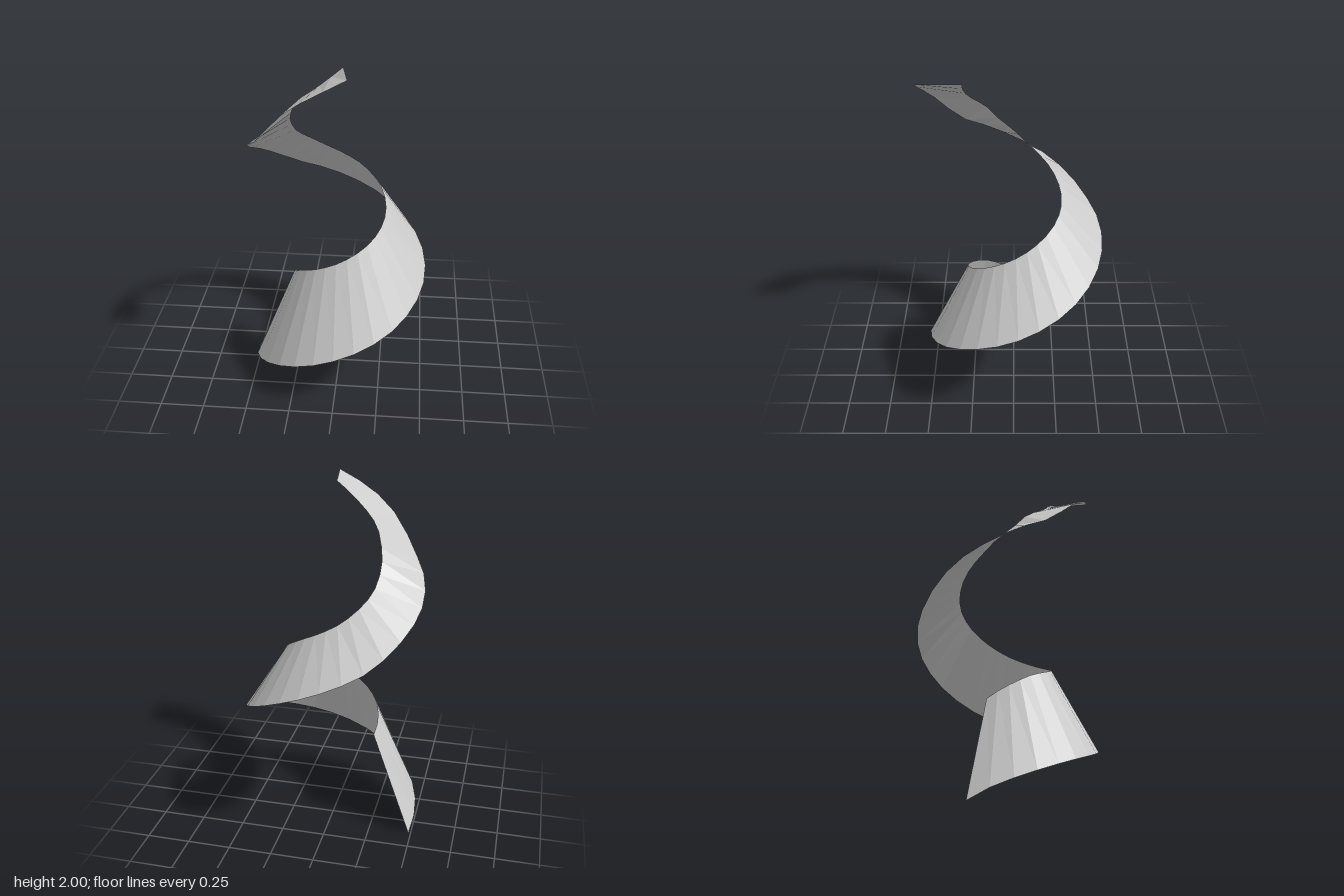
import * as THREE from 'three';

// Edge heights as [angle, y], with the angle running from left (-x) through the front
const OUTER = [[-0.25, 0], [0, 0.06], [0.41, 0.14], [0.93, 0.245], [1.57, 0.37], [2.21, 0.495],
  [2.69, 0.6], [3.14, 0.69], [3.79, 0.83], [4.31, 0.95], [4.71, 1.035], [5.31, 1.16], [5.67, 1.27],
  [5.88, 1.33], [6.28, 1.425], [6.56, 1.5], [6.85, 1.57], [7.08, 1.67], [7.33, 1.79], [7.63, 1.9], [8.01, 2]];
const INNER = [[-0.25, 0.605], [0, 0.645], [0.3, 0.69], [0.69, 0.75], [1.57, 0.855], [2.33, 0.955],
  [3.14, 1.07], [3.83, 1.175], [4.32, 1.245], [4.71, 1.295], [5.1, 1.35], [5.5, 1.42], [5.88, 1.485],
  [6.28, 1.585], [6.63, 1.67], [6.91, 1.76], [7.44, 1.86], [7.85, 1.95], [8.01, 1.985]];

function heightAt(keys, a) {
  let i = 1;
  while (i < keys.length - 1 && keys[i][0] < a) i++;
  const [a0, y0] = keys[i - 1], [a1, y1] = keys[i];
  return y0 + (y1 - y0) * (a - a0) / (a1 - a0);
}

export function createModel() {
  const group = new THREE.Group();
  const grey = new THREE.MeshStandardMaterial({ color: 0xcccccc, side: THREE.DoubleSide, flatShading: true });
  grey.name = 'light grey';

  // Helical ribbon that leans from steep at the base to nearly level at the top
  const steps = 36, start = -0.25, end = 8.01;
  const positions = [], index = [];
  for (let i = 0; i <= steps; i++) {
    const a = start + (end - start) * i / steps;
    for (const [r, keys] of [[0.503, OUTER], [0.263, INNER]]) {
      positions.push(-r * Math.cos(a), heightAt(keys, a), r * Math.sin(a));
    }
    if (i < steps) {
      const k = i * 2;
      index.push(k, k + 2, k + 1, k + 1, k + 2, k + 3);
    }
  }
  const geometry = new THREE.BufferGeometry();
  geometry.setAttribute('position', new THREE.Float32BufferAttribute(positions, 3));
  geometry.setIndex(index);
  geometry.computeVertexNormals();

  const ribbon = new THREE.Mesh(geometry, grey);
  ribbon.name = 'spiralRibbon';
  group.add(ribbon);
  return group;
}
